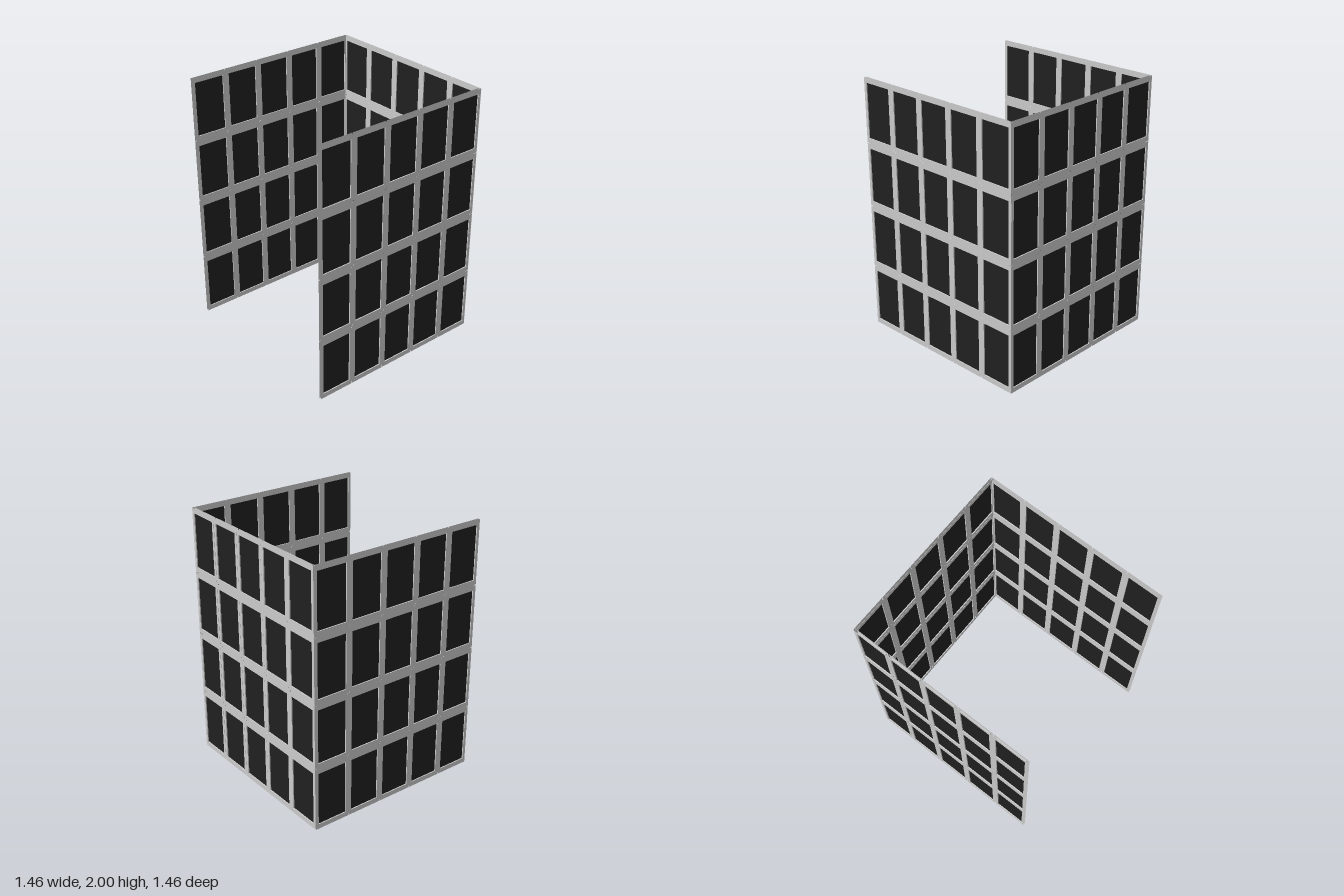
import * as THREE from 'three';
import { mergeGeometries } from 'three/addons/utils/BufferGeometryUtils.js';

const PITCH_X = 0.2925, PITCH_Y = 0.5013; // panel spacing
const W = 0.288, H = 0.496, T = 0.016;    // panel width, height, thickness
const OPEN_W = 0.241, OPEN_H = 0.42;      // glazed opening

function rect(path, w, h) {
  path.moveTo(-w / 2, -h / 2);
  path.lineTo(w / 2, -h / 2);
  path.lineTo(w / 2, h / 2);
  path.lineTo(-w / 2, h / 2);
  path.closePath();
  return path;
}

// Frame: front and back rings joined by the inner reveals, open at the outer edge
function frameGeometry() {
  const shape = rect(new THREE.Shape(), W, H);
  shape.holes.push(rect(new THREE.Path(), OPEN_W, OPEN_H));
  const parts = [
    new THREE.ShapeGeometry(shape).translate(0, 0, T / 2),
    new THREE.ShapeGeometry(shape).rotateY(Math.PI).translate(0, 0, -T / 2),
  ];
  for (const s of [-1, 1]) {
    parts.push(new THREE.PlaneGeometry(T, OPEN_H).rotateY(-s * Math.PI / 2).translate(s * OPEN_W / 2, 0, 0));
    parts.push(new THREE.PlaneGeometry(OPEN_W, T).rotateX(s * Math.PI / 2).translate(0, s * OPEN_H / 2, 0));
  }
  return mergeGeometries(parts);
}

export function createModel() {
  const model = new THREE.Group();
  model.name = 'glazedWalls';
  const frameMat = new THREE.MeshStandardMaterial({ color: 0xcccccc, side: THREE.DoubleSide });
  const glassMat = new THREE.MeshStandardMaterial({ color: 0x202020, side: THREE.DoubleSide });
  const frameGeo = frameGeometry();
  const glassGeo = new THREE.PlaneGeometry(OPEN_W, OPEN_H);

  // A wall is a grid of five by four window panels
  function addWall(name, x, z, angle) {
    const wall = new THREE.Group();
    wall.name = name;
    for (let row = 0; row < 4; row++) {
      for (let col = 0; col < 5; col++) {
        const panel = new THREE.Group();
        panel.name = 'windowPanel';
        const frame = new THREE.Mesh(frameGeo, frameMat);
        frame.name = 'frame';
        const glass = new THREE.Mesh(glassGeo, glassMat);
        glass.name = 'glass';
        panel.add(frame, glass);
        panel.position.set((col - 2) * PITCH_X, row * PITCH_Y + H / 2, 0);
        wall.add(panel);
      }
    }
    wall.position.set(x, 0, z);
    wall.rotation.y = angle;
    model.add(wall);
  }

  // Three walls, open on the -x side
  addWall('frontWall', -0.002, 0.7225, 0);
  addWall('backWall', -0.002, -0.7235, 0);
  addWall('sideWall', 0.721, 0.002, Math.PI / 2);
  return model;
}
